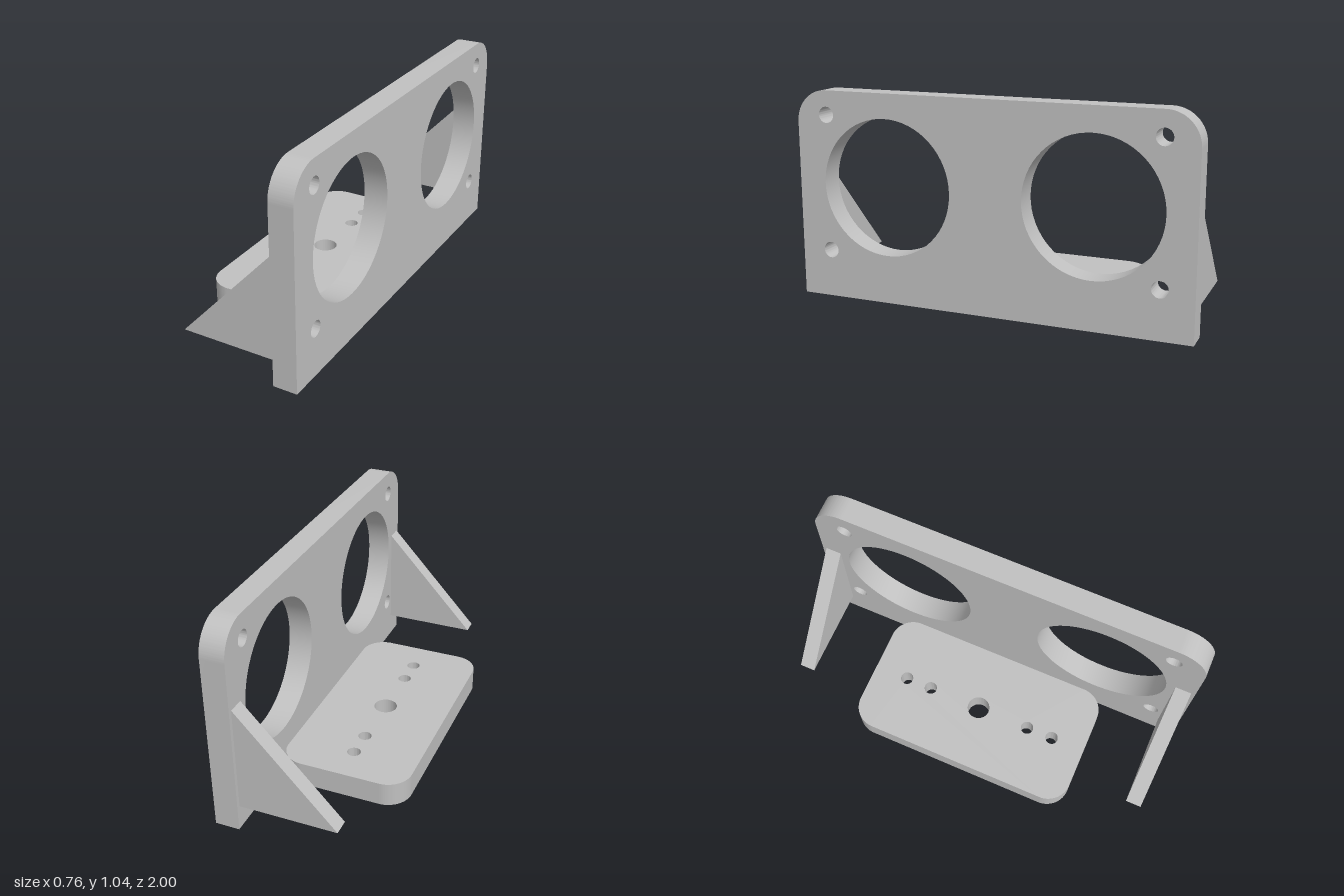
import * as THREE from 'three';
import { toCreasedNormals } from 'three/addons/utils/BufferGeometryUtils.js';

// Rectangle with separate corner radii for its bottom and top edges
function roundedRect(x0, y0, x1, y1, bottomR, topR) {
  const s = new THREE.Shape();
  const corner = (x, y, r, start) => {
    if (r > 0) s.absarc(x, y, r, start, start + Math.PI / 2, false);
    else s.lineTo(x, y);
  };
  s.moveTo(x0 + bottomR, y0);
  corner(x1 - bottomR, y0 + bottomR, bottomR, -Math.PI / 2);
  corner(x1 - topR, y1 - topR, topR, 0);
  corner(x0 + topR, y1 - topR, topR, Math.PI / 2);
  corner(x0 + bottomR, y0 + bottomR, bottomR, Math.PI);
  return s;
}

function addHole(shape, x, y, r) {
  shape.holes.push(new THREE.Path().absarc(x, y, r, 0, Math.PI * 2, true));
}

function extrude(shape, depth) {
  return new THREE.ExtrudeGeometry(shape, { depth, bevelEnabled: false, curveSegments: 32 });
}

export function createModel() {
  const group = new THREE.Group();
  const grey = new THREE.MeshStandardMaterial({ color: 0xc0c0c0 });
  grey.name = 'light grey';

  const add = (name, geometry) => {
    const mesh = new THREE.Mesh(toCreasedNormals(geometry, 0.5), grey);
    mesh.name = name;
    group.add(mesh);
  };

  // Upright plate with two large openings and four screw holes
  const plate = roundedRect(-1, 0, 1, 1.04, 0, 0.16);
  for (const side of [-1, 1]) {
    addHole(plate, side * 0.52, 0.58, 0.338);
    for (const y of [0.24, 0.92]) addHole(plate, side * 0.84, y, 0.04);
  }
  add('uprightPlate', extrude(plate, 0.12).rotateY(Math.PI / 2).translate(0.26, 0, 0));

  // Mounting foot with a row of holes
  const foot = roundedRect(-0.38, -0.6, 0.26, 0.6, 0.12, 0.12);
  addHole(foot, -0.06, 0, 0.058);
  for (const z of [-0.42, -0.28, 0.28, 0.42]) addHole(foot, -0.06, z, 0.033);
  add('mountingFoot', extrude(foot, 0.12).rotateX(-Math.PI / 2));

  // Triangular gussets at both ends of the plate
  const triangle = new THREE.Shape([
    new THREE.Vector2(-0.22, 0.12),
    new THREE.Vector2(0.26, 0.12),
    new THREE.Vector2(0.26, 0.64),
  ]);
  add('leftGusset', extrude(triangle, 0.08).translate(0, 0, 0.9));
  add('rightGusset', extrude(triangle, 0.08).translate(0, 0, -0.98));

  return group;
}
